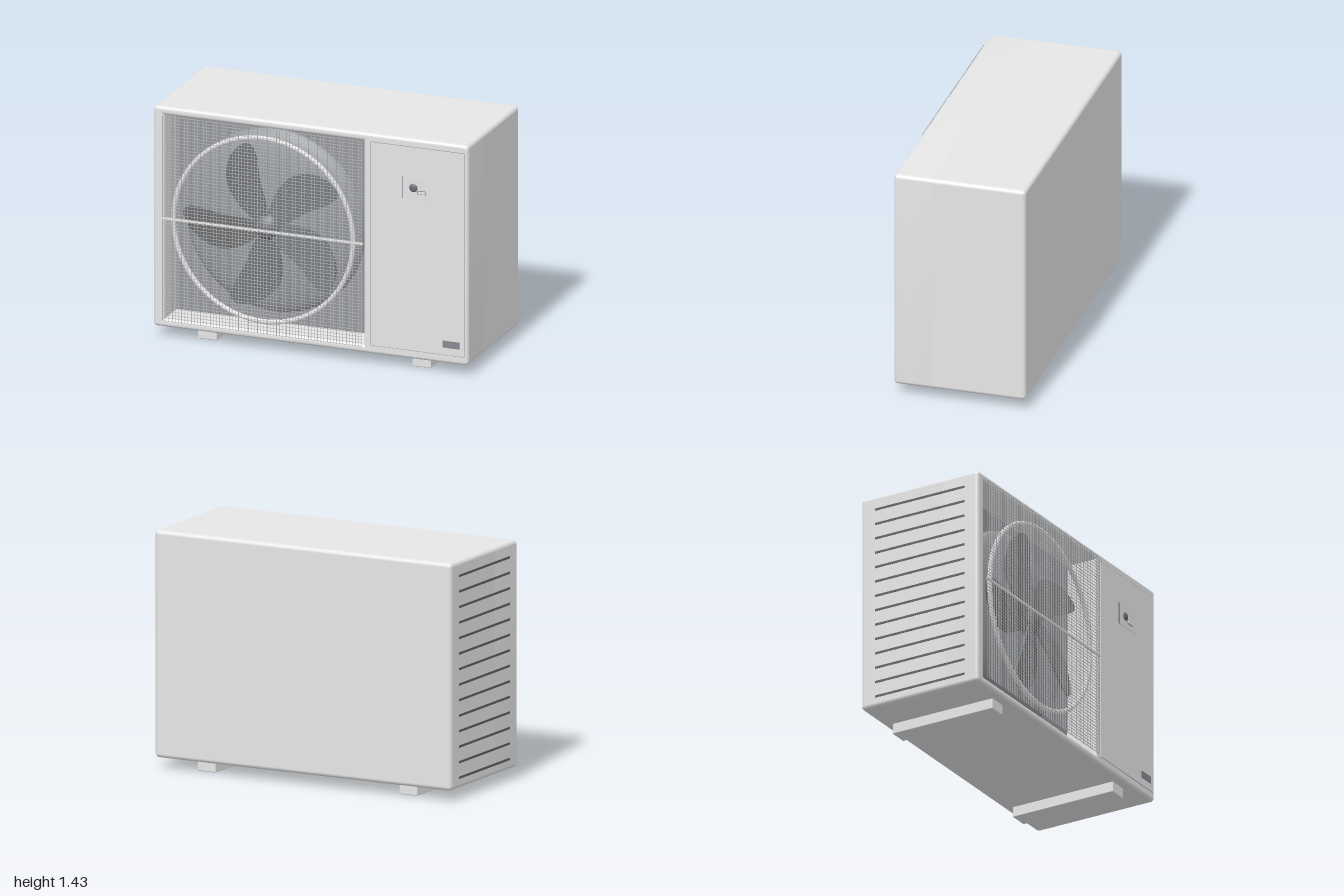
import * as THREE from 'three';
import { toCreasedNormals } from 'three/addons/utils/BufferGeometryUtils.js';
import { RoundedBoxGeometry } from 'three/addons/geometries/RoundedBoxGeometry.js';

const flat = (name, color, side = THREE.FrontSide) => {
  const m = new THREE.MeshStandardMaterial({ color, side });
  m.name = name;
  return m;
};

export function createModel() {
  const shell = flat('casing white', 0xf2f2f3);
  const plate = flat('latch plate grey', 0xe4e5e6);
  const liner = flat('liner grey', 0x95989c);
  const domeGrey = flat('shroud grey', 0x94979b, THREE.DoubleSide);
  const fanGrey = flat('fan grey', 0x6e7174, THREE.DoubleSide);
  const wire = flat('wire grey', 0xb8babc);
  const dark = flat('dark grey', 0x5e6163);
  const knobGrey = flat('knob grey', 0x6c6f72);
  const label = flat('label grey', 0x868a90);

  const model = new THREE.Group();
  const add = (name, geometry, material, x = 0, y = 0, z = 0, parent = model) => {
    const mesh = new THREE.Mesh(geometry, material);
    mesh.name = name;
    mesh.position.set(x, y, z);
    parent.add(mesh);
    return mesh;
  };
  // box given by its limits
  const span = (name, mat, x0, x1, y0, y1, z0, z1, parent = model) =>
    add(name, new THREE.BoxGeometry(x1 - x0, y1 - y0, z1 - z0), mat,
      (x0 + x1) / 2, (y0 + y1) / 2, (z0 + z1) / 2, parent);

  // casing: closed rear body plus a front frame with the fan opening
  add('rearCasing', new RoundedBoxGeometry(2, 1.37, 0.605, 3, 0.025), shell, 0, 0.75, -0.1175);
  const frame = new THREE.Shape();
  const r = 0.025, X = 1 - r, Y0 = 0.065 + r, Y1 = 1.435 - r;
  frame.absarc(X, Y0, r, -Math.PI / 2, 0);
  frame.absarc(X, Y1, r, 0, Math.PI / 2);
  frame.absarc(-X, Y1, r, Math.PI / 2, Math.PI);
  frame.absarc(-X, Y0, r, Math.PI, Math.PI * 1.5);
  const opening = new THREE.Path();
  opening.moveTo(-0.93, 0.115).lineTo(-0.93, 1.385).lineTo(0.335, 1.385).lineTo(0.335, 0.115).closePath();
  frame.holes.push(opening);
  const frameGeo = new THREE.ExtrudeGeometry(frame, {
    depth: 0.25, bevelThickness: 0.02, bevelSize: 0.02, bevelOffset: -0.02, bevelSegments: 5, curveSegments: 5,
  });
  add('frontFrame', toCreasedNormals(frameGeo, 0.15), shell, 0, 0, 0.12);
  span('recessLiner', liner, -0.93, 0.335, 0.115, 1.385, 0.18, 0.19);

  // feet
  for (const x of [-0.68, 0.68]) {
    add('foot', new RoundedBoxGeometry(0.12, 0.08, 0.69, 2, 0.006), shell, x, 0.04, -0.015);
  }

  // service panel with a fine seam, latch and label
  span('panelSeam', liner, 0.382, 0.978, 0.117, 1.388, 0.385, 0.391);
  span('servicePanel', shell, 0.385, 0.975, 0.12, 1.385, 0.385, 0.393);
  span('latchPlate', plate, 0.59, 0.77, 1.065, 1.2, 0.392, 0.397);
  span('latchPlateEdge', dark, 0.585, 0.59, 1.065, 1.2, 0.39, 0.397);
  const knob = add('latchKnob', new THREE.SphereGeometry(0.026, 24, 12), knobGrey, 0.655, 1.135, 0.397);
  knob.scale.z = 0.4;
  span('latchSlotRim', knobGrey, 0.679, 0.733, 1.099, 1.121, 0.395, 0.399);
  span('latchSlot', shell, 0.682, 0.73, 1.102, 1.118, 0.395, 0.402);
  span('ratingLabel', label, 0.84, 0.945, 0.165, 0.207, 0.39, 0.398);

  // vent slots on the right side
  for (let i = 0; i < 14; i++) {
    const y = 0.13 + i * 0.0935;
    span('ventSlot', dark, -1.002, -0.99, y - 0.007, y + 0.007, -0.32, 0.295);
  }

  // fan assembly
  const fan = new THREE.Group();
  fan.name = 'fan';
  fan.position.set(-0.3, 0.75, 0);
  model.add(fan);

  // domed shroud behind the blades
  const dome = (radius, z, height) => {
    const points = [];
    for (let i = 0; i <= 10; i++) {
      const a = (i / 10) * Math.PI / 2;
      points.push(new THREE.Vector2(i < 10 ? radius * Math.cos(a) : 0, z + height * Math.sin(a)));
    }
    return new THREE.LatheGeometry(points, 64);
  };
  add('shroud', dome(0.57, 0.19, 0.1), domeGrey, 0, 0, 0, fan).rotation.x = Math.PI / 2;

  // five swept blades, pitched along their width
  const blade = new THREE.Shape();
  blade.moveTo(-0.06, 0.03);
  blade.splineThru([
    [-0.15, 0.045], [-0.28, 0.05], [-0.42, 0.075], [-0.5, 0.07], [-0.525, 0.02], [-0.48, -0.08],
    [-0.38, -0.155], [-0.27, -0.175], [-0.15, -0.135], [-0.05, -0.06],
  ].map(([x, y]) => new THREE.Vector2(x, y)));
  const bladeGeo = new THREE.ExtrudeGeometry(blade, { depth: 0.012, bevelEnabled: false, curveSegments: 40 });
  const p = bladeGeo.attributes.position;
  for (let i = 0; i < p.count; i++) p.setZ(i, p.getZ(i) + 0.325 + 0.18 * (p.getY(i) + 0.04));
  bladeGeo.computeVertexNormals();
  for (let i = 0; i < 5; i++) {
    add('fanBlade', bladeGeo, fanGrey, 0, 0, 0, fan).rotation.z = (i * Math.PI * 2) / 5;
  }
  add('fanHub', dome(0.097, 0.28, 0.1), fanGrey, 0, 0, 0, fan).rotation.x = Math.PI / 2;
  add('guardRing', new THREE.TorusGeometry(0.57, 0.015, 8, 80), shell, 0, 0, 0.389, fan);

  // wire guard mesh and its centre bar
  const guard = new THREE.Group();
  guard.name = 'wireGuard';
  model.add(guard);
  const n = 63, t = 0.0012;
  for (let i = 0; i <= n; i++) {
    const x = -0.93 + (1.265 * i) / n, y = 0.112 + (1.276 * i) / n;
    span('verticalWire', wire, x - t, x + t, 0.112, 1.388, 0.412, 0.415, guard);
    span('horizontalWire', wire, -0.93, 0.335, y - t, y + t, 0.411, 0.414, guard);
  }
  span('centreBar', shell, -0.937, 0.342, 0.746, 0.756, 0.409, 0.418, guard);

  return model;
}
